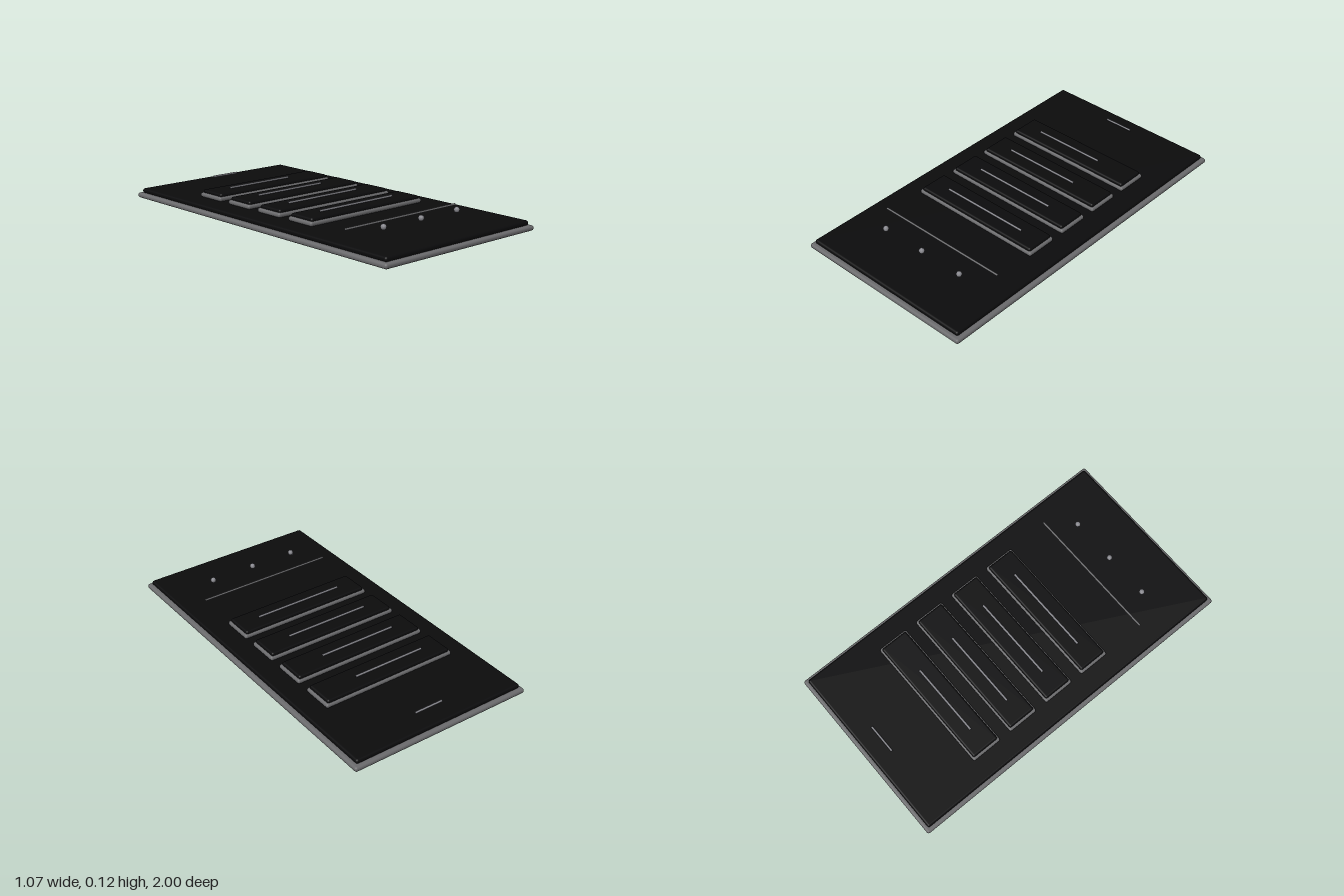
import * as THREE from 'three';
import { RoundedBoxGeometry } from 'three/addons/geometries/RoundedBoxGeometry.js';

const material = (name, color) => {
  const m = new THREE.MeshStandardMaterial({ color });
  m.name = name;
  return m;
};

export function createModel() {
  const model = new THREE.Group();
  model.name = 'touchPanel';
  const grey = material('frame grey', 0x6a6a6c);
  const black = material('glass black', 0x0b0b0c);
  const silver = material('line silver', 0x86868c);

  const add = (name, geometry, mat, x, y, z) => {
    const mesh = new THREE.Mesh(geometry, mat);
    mesh.name = name;
    mesh.position.set(x, y, z);
    model.add(mesh);
    return mesh;
  };
  // Rounded slab given by its bottom and top heights
  const slab = (name, mat, width, depth, bottom, top, z = 0) => {
    const h = top - bottom;
    add(name, new RoundedBoxGeometry(width, h, depth, 3, h * 0.46), mat, 0, (bottom + top) / 2, z);
  };
  // Thin open-ended rod running along x
  const rod = (name, mat, x0, x1, y, z, radius) => {
    const geometry = new THREE.CylinderGeometry(radius, radius, x1 - x0, 8, 1, true);
    geometry.rotateZ(Math.PI / 2);
    add(name, geometry, mat, (x0 + x1) / 2, y, z);
  };

  // Body and screen
  slab('backFrame', grey, 1.07, 2, 0, 0.028);
  slab('screen', black, 1.03, 1.96, 0.027, 0.053);

  // Four raised cards, each with a line of a different length
  [0.16, 0.19, 0.23, 0.26].forEach((end, i) => {
    const z = -0.493 + i * 0.247;
    slab('cardFrame', grey, 0.8, 0.18, 0.053, 0.078, z);
    slab('cardFace', black, 0.775, 0.162, 0.07, 0.094, z);
    rod('cardLine', silver, -0.265, end, 0.098, z, 0.006);
  });

  // Earpiece, divider and three buttons
  rod('earpiece', silver, -0.085, 0.085, 0.075, -0.877, 0.006);
  rod('divider', grey, -0.4, 0.4, 0.086, 0.576, 0.006);
  for (const x of [-0.264, 0, 0.264]) {
    add('button', new THREE.SphereGeometry(0.016, 8, 6), silver, x, 0.102, 0.71);
  }
  return model;
}
